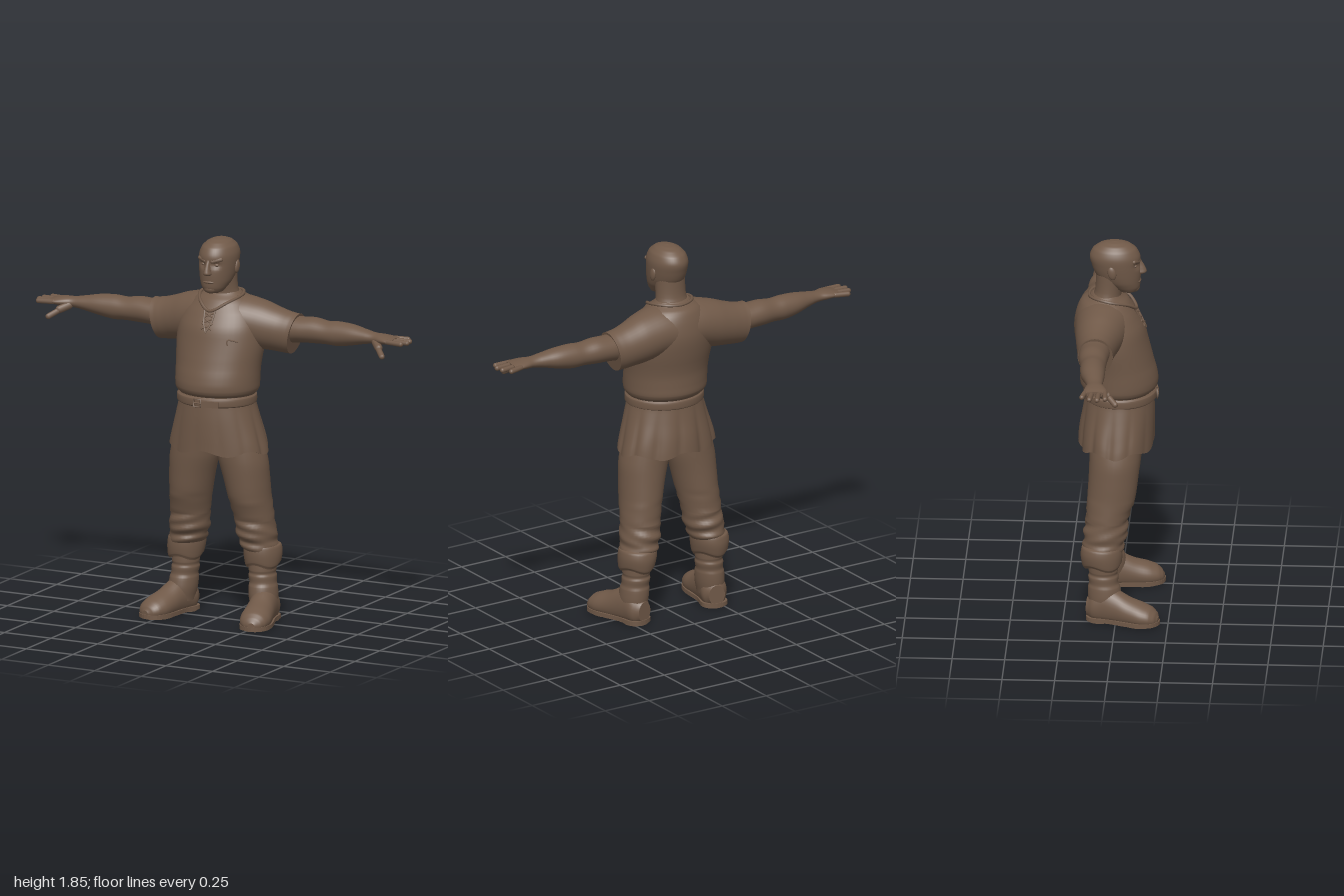
import * as THREE from 'three';

const brown = new THREE.MeshStandardMaterial({ color: 0x705948 });
brown.name = 'brown clay';
const V = (x, y, z) => new THREE.Vector3(x, y, z);

// Closed elliptical loft. Each section is [position, centre1, centre2, radius1, radius2],
// where axis, axis1 and axis2 follow each other in the cycle x, y, z.
function loft(axis, sections, { segs = 32, steps = 4, warp } = {}) {
  const n = sections.length;
  const at = (i, k) => sections[Math.min(n - 1, Math.max(0, i))][k];
  const rows = [];
  for (let i = 0; i < n - 1; i++) {
    for (let s = 0; s < steps || (i === n - 2 && s === steps); s++) {
      const t = s / steps;
      rows.push([0, 1, 2, 3, 4].map((k) => {
        const [a, b, c, d] = [at(i - 1, k), at(i, k), at(i + 1, k), at(i + 2, k)];
        if (k === 0) return b + (c - b) * t;
        return b + 0.5 * t * (c - a + t * (2 * a - 5 * b + 4 * c - d + t * (3 * (b - c) + d - a)));
      }));
    }
  }
  const pos = [], idx = [], shift = 'xyz'.indexOf(axis);
  const rising = sections[n - 1][0] > sections[0][0];
  const tri = (a, b, c) => (rising ? idx.push(a, b, c) : idx.push(a, c, b));
  const put = (a, b, c, th) => {
    const v = [0, 0, 0];
    [a, b, c].forEach((q, k) => { v[(shift + k) % 3] = q; });
    const p = V(...v);
    if (warp) warp(p, th);
    pos.push(p.x, p.y, p.z);
  };
  const ring = (r) => {
    for (let j = 0; j < segs; j++) {
      const th = (j / segs) * Math.PI * 2;
      put(r[0], r[1] + r[3] * Math.cos(th), r[2] + r[4] * Math.sin(th), th);
    }
  };
  rows.forEach(ring);
  for (let i = 0; i < rows.length - 1; i++) {
    for (let j = 0; j < segs; j++) {
      const a = i * segs + j, b = i * segs + (j + 1) % segs;
      tri(a, b, a + segs);
      tri(b, b + segs, a + segs);
    }
  }
  // end caps with their own vertices
  [rows[0], rows[rows.length - 1]].forEach((r, end) => {
    const base = pos.length / 3;
    ring(r);
    put(r[0], r[1], r[2], 0);
    for (let j = 0; j < segs; j++) {
      const a = base + j, b = base + (j + 1) % segs;
      if (end) tri(a, b, base + segs); else tri(b, a, base + segs);
    }
  });
  const g = new THREE.BufferGeometry();
  g.setAttribute('position', new THREE.Float32BufferAttribute(pos, 3));
  g.setIndex(idx);
  g.computeVertexNormals();
  return g;
}

function add(parent, name, geometry) {
  const m = new THREE.Mesh(geometry, brown);
  m.name = name;
  parent.add(m);
  return m;
}

const tube = (pts, r, closed = false) => new THREE.TubeGeometry(
  new THREE.CatmullRomCurve3(pts.map((p) => V(...p)), closed), closed ? 48 : 12, r, 6, closed);

// Rounded rod from p to q
function rod(parent, name, p, q, r) {
  const a = V(...p), b = V(...q), d = b.clone().sub(a);
  const m = add(parent, name, new THREE.CapsuleGeometry(r, Math.max(0.001, d.length() - 2 * r), 5, 10));
  m.position.copy(a).add(b).multiplyScalar(0.5);
  m.quaternion.setFromUnitVectors(V(0, 1, 0), d.normalize());
  return m;
}

function ball(parent, name, p, s) {
  const m = add(parent, name, new THREE.SphereGeometry(1, 16, 12));
  m.position.set(...p);
  m.scale.set(...s);
  return m;
}

function buildHead() {
  const head = new THREE.Group();
  head.name = 'head';
  add(head, 'neck', loft('y', [[1.5, -0.06, 0, 0.09, 0.11], [1.56, -0.055, 0, 0.072, 0.088],
    [1.61, -0.045, 0, 0.064, 0.076], [1.7, -0.035, 0, 0.07, 0.075]]));
  add(head, 'skull', loft('y', [[1.596, 0.05, 0, 0.02, 0.025], [1.605, 0.046, 0, 0.045, 0.045],
    [1.625, 0.035, 0, 0.068, 0.06], [1.655, 0.016, 0, 0.09, 0.075], [1.69, 0, 0, 0.108, 0.084],
    [1.74, -0.01, 0, 0.117, 0.09], [1.78, -0.015, 0, 0.12, 0.09], [1.815, -0.016, 0, 0.104, 0.078],
    [1.837, -0.016, 0, 0.075, 0.056], [1.848, -0.016, 0, 0.043, 0.032], [1.852, -0.016, 0, 0.006, 0.005]], {
    segs: 48, steps: 5,
    warp: (p) => { // eye sockets
      if (p.z > 0) p.z -= 0.014 * Math.exp(-(((Math.abs(p.x) - 0.035) / 0.018) ** 2) - ((p.y - 1.738) / 0.014) ** 2);
    },
  }));
  add(head, 'nose', loft('y', [[1.688, 0.105, 0, 0.012, 0.012], [1.696, 0.108, 0, 0.026, 0.02],
    [1.71, 0.106, 0, 0.028, 0.017], [1.74, 0.1, 0, 0.02, 0.011], [1.765, 0.096, 0, 0.01, 0.01]], { segs: 16 }));
  ball(head, 'mouth', [0, 1.655, 0.098], [0.03, 0.008, 0.012]);
  ball(head, 'chin', [0, 1.62, 0.078], [0.034, 0.024, 0.025]);
  for (const s of [-1, 1]) {
    rod(head, 'brow', [s * 0.01, 1.754, 0.1], [s * 0.065, 1.768, 0.074], 0.01);
    ball(head, 'eye', [s * 0.035, 1.738, 0.082], [0.013, 0.008, 0.01]);
    ball(head, 'ear', [s * 0.088, 1.718, -0.025], [0.011, 0.033, 0.02]).rotation.x = -0.2;
  }
  return head;
}

function buildShirt() {
  const shirt = new THREE.Group();
  shirt.name = 'shirt';
  add(shirt, 'shirtBody', loft('y', [[1.59, -0.055, 0, 0.066, 0.085], [1.555, -0.062, 0, 0.112, 0.14],
    [1.5, -0.055, 0, 0.143, 0.19], [1.43, -0.042, 0, 0.167, 0.215], [1.35, -0.028, 0, 0.173, 0.22],
    [1.25, -0.006, 0, 0.176, 0.21], [1.18, 0.004, 0, 0.184, 0.207], [1.14, 0.005, 0, 0.185, 0.205],
    [1.12, 0.006, 0, 0.176, 0.197], [1.105, 0.006, 0, 0.16, 0.183]], { segs: 48 }));
  add(shirt, 'collar', tube([[0, 1.512, 0.088], [0.07, 1.55, 0.05], [0.108, 1.578, -0.04],
    [0.07, 1.584, -0.115], [0, 1.58, -0.137], [-0.07, 1.584, -0.115], [-0.108, 1.578, -0.04],
    [-0.07, 1.55, 0.05]], 0.008, true));
  // neck slit and crossed lacing
  const front = (y) => 0.126 - (y - 1.43) * 0.55;
  for (const s of [-1, 1]) {
    add(shirt, 'slitEdge', tube([[s * 0.028, 1.515, front(1.515) + 0.003], [s * 0.02, 1.46, front(1.46)],
      [0, 1.415, front(1.415) - 0.001]], 0.005));
    for (let i = 0; i < 3; i++) {
      const y = 1.43 + i * 0.025;
      rod(shirt, 'lace', [-s * 0.028, y, front(y)], [s * 0.028, y + 0.025, front(y + 0.025)], 0.004);
    }
  }
  add(shirt, 'pocketEdge', tube([[0.11, 1.36, 0.118], [0.11, 1.385, 0.114], [0.155, 1.378, 0.089]], 0.004));
  return shirt;
}

function buildBeltAndSkirt() {
  const g = new THREE.Group();
  g.name = 'beltAndSkirt';
  add(g, 'belt', loft('y', [[1.062, 0.011, 0, 0.168, 0.188], [1.068, 0.011, 0, 0.174, 0.194],
    [1.1, 0.011, 0, 0.174, 0.194], [1.108, 0.011, 0, 0.165, 0.186]], { segs: 48 }));
  // pleated skirt, smooth across the front
  add(g, 'skirt', loft('y', [[1.09, 0.008, 0, 0.162, 0.185], [1.0, 0.004, 0, 0.17, 0.206],
    [0.92, -0.002, 0, 0.176, 0.228], [0.835, -0.006, 0, 0.178, 0.248]], {
    segs: 120,
    warp: (p, th) => {
      const t = Math.min(1, (1.09 - p.y) / 0.2);
      const back = 0.25 + 0.75 * (1 - Math.cos(th)) / 2;
      const k = 1 + t * back * 0.05 * (2 * Math.abs(Math.sin(th * 6 + 0.8)) ** 0.5 - 1.4);
      p.x *= k;
      p.z *= k;
      p.y += t * t * 0.012 * Math.cos(th * 6);
    },
  }));
  const buckle = add(g, 'buckle', new THREE.TorusGeometry(0.026, 0.005, 6, 4));
  buckle.geometry.rotateZ(Math.PI / 4);
  buckle.position.set(-0.015, 1.083, 0.187);
  rod(g, 'bucklePin', [-0.03, 1.083, 0.19], [0.01, 1.083, 0.19], 0.004);
  const end = add(g, 'beltEnd', new THREE.BoxGeometry(0.085, 0.03, 0.009));
  end.position.set(0.05, 1.08, 0.181);
  end.rotation.y = 0.2;
  return g;
}

function buildArm() {
  const arm = new THREE.Group();
  arm.name = 'arm';
  add(arm, 'sleeve', loft('x', [[0, 1.45, -0.062, 0.125, 0.14], [0.1, 1.452, -0.068, 0.121, 0.13],
    [0.2, 1.435, -0.08, 0.116, 0.112], [0.28, 1.418, -0.088, 0.104, 0.095],
    [0.34, 1.408, -0.09, 0.099, 0.086], [0.37, 1.406, -0.09, 0.098, 0.084]], {
    segs: 40, warp: (p) => { p.x += (p.y - 1.41) * 0.2 * Math.max(0, p.x / 0.37) ** 2; },
  }));
  add(arm, 'bareArm', loft('x', [[0.3, 1.425, -0.09, 0.07, 0.07], [0.4, 1.43, -0.093, 0.062, 0.072],
    [0.47, 1.433, -0.095, 0.062, 0.068], [0.54, 1.43, -0.091, 0.056, 0.061], [0.6, 1.431, -0.09, 0.059, 0.06],
    [0.68, 1.435, -0.085, 0.05, 0.056], [0.76, 1.437, -0.075, 0.034, 0.043], [0.81, 1.437, -0.07, 0.026, 0.038],
    [0.85, 1.438, -0.065, 0.024, 0.05], [0.89, 1.438, -0.062, 0.019, 0.058], [0.92, 1.438, -0.061, 0.012, 0.052]]));
  const fingers = [[-0.106, 0.967, -0.126], [-0.076, 0.994, -0.088], [-0.045, 1.0, -0.05], [-0.018, 0.985, -0.012]];
  for (const [z, x, tz] of fingers) rod(arm, 'finger', [0.88, 1.438, z], [x, 1.435, tz], 0.0125);
  rod(arm, 'thumbBase', [0.81, 1.43, -0.055], [0.87, 1.4, 0.005], 0.019);
  rod(arm, 'thumb', [0.84, 1.415, -0.02], [0.905, 1.37, 0.04], 0.014);
  return arm;
}

function buildLeg() {
  const leg = new THREE.Group();
  leg.name = 'leg';
  add(leg, 'trouserLeg', loft('y', [[0.95, -0.005, 0.105, 0.125, 0.1], [0.8, -0.008, 0.128, 0.122, 0.118],
    [0.7, -0.015, 0.145, 0.118, 0.11], [0.6, -0.025, 0.158, 0.114, 0.101], [0.5, -0.043, 0.172, 0.1, 0.096],
    [0.46, -0.047, 0.176, 0.102, 0.094], [0.425, -0.052, 0.181, 0.105, 0.097], [0.395, -0.056, 0.185, 0.095, 0.088],
    [0.37, -0.06, 0.192, 0.1, 0.091], [0.34, -0.06, 0.2, 0.085, 0.08]], {
    warp: (p, th) => { // soft folds around the knee and calf
      if (p.y < 0.6) p.z += 0.005 * Math.sin(p.y * 110 + th * 2);
    },
  }));
  add(leg, 'cuff', loft('y', [[0.378, -0.066, 0.2, 0.082, 0.074], [0.368, -0.067, 0.202, 0.096, 0.088],
    [0.33, -0.068, 0.205, 0.1, 0.091], [0.285, -0.066, 0.207, 0.094, 0.085], [0.27, -0.064, 0.207, 0.085, 0.076]], {
    warp: (p, th) => { p.y += 0.01 * Math.cos(th * 3) * Math.min(1, (0.38 - p.y) / 0.1); },
  }));
  add(leg, 'bootShaft', loft('y', [[0.32, -0.062, 0.205, 0.068, 0.067], [0.25, -0.06, 0.206, 0.07, 0.066],
    [0.235, -0.06, 0.206, 0.067, 0.063], [0.22, -0.06, 0.207, 0.072, 0.067], [0.19, -0.058, 0.21, 0.069, 0.064],
    [0.17, -0.056, 0.212, 0.076, 0.068], [0.12, -0.052, 0.216, 0.08, 0.068], [0.06, -0.05, 0.22, 0.075, 0.06]]));
  const foot = new THREE.Group();
  foot.name = 'foot';
  foot.position.set(0.225, 0, -0.05);
  foot.rotation.y = 0.23;
  add(foot, 'bootFoot', loft('z', [[-0.085, 0, 0.065, 0.04, 0.05], [-0.05, 0, 0.07, 0.062, 0.08],
    [0, 0, 0.08, 0.063, 0.1], [0.06, 0, 0.07, 0.065, 0.088], [0.12, 0, 0.055, 0.07, 0.072],
    [0.18, 0, 0.045, 0.074, 0.062], [0.225, 0, 0.04, 0.064, 0.048], [0.25, 0, 0.034, 0.044, 0.032],
    [0.262, 0, 0.03, 0.018, 0.015]], { warp: (p) => { p.y = Math.max(p.y, 0.018); } }));
  // sole outline and raised heel
  const half = [[0.04, -0.082], [0.064, -0.05], [0.06, 0.03], [0.072, 0.11], [0.076, 0.18], [0.056, 0.24]];
  const outline = [[0, -0.09], ...half, [0, 0.268], ...half.map(([x, z]) => [-x, z]).reverse()];
  const shape = new THREE.Shape(new THREE.SplineCurve([...outline, outline[0]].map((p) => new THREE.Vector2(...p))).getPoints(56));
  const sole = new THREE.ExtrudeGeometry(shape, { depth: 0.02, bevelEnabled: false });
  sole.rotateX(Math.PI / 2).translate(0, 0.026, 0);
  add(foot, 'sole', sole);
  const heel = add(foot, 'heel', new THREE.CylinderGeometry(0.06, 0.06, 0.012, 24));
  heel.position.set(0, 0.006, -0.027);
  const ballPad = add(foot, 'frontTread', new THREE.CylinderGeometry(0.068, 0.068, 0.008, 24));
  ballPad.position.set(0, 0.004, 0.165);
  ballPad.scale.z = 1.25;
  leg.add(foot);
  return leg;
}

export function createModel() {
  const model = new THREE.Group();
  model.name = 'villager';
  model.add(buildHead(), buildShirt(), buildBeltAndSkirt());
  for (const [side, s] of [['left', 1], ['right', -1]]) {
    const limbs = new THREE.Group();
    limbs.name = side + 'Limbs';
    limbs.add(buildArm(), buildLeg());
    limbs.scale.x = s;
    model.add(limbs);
  }
  return model;
}
